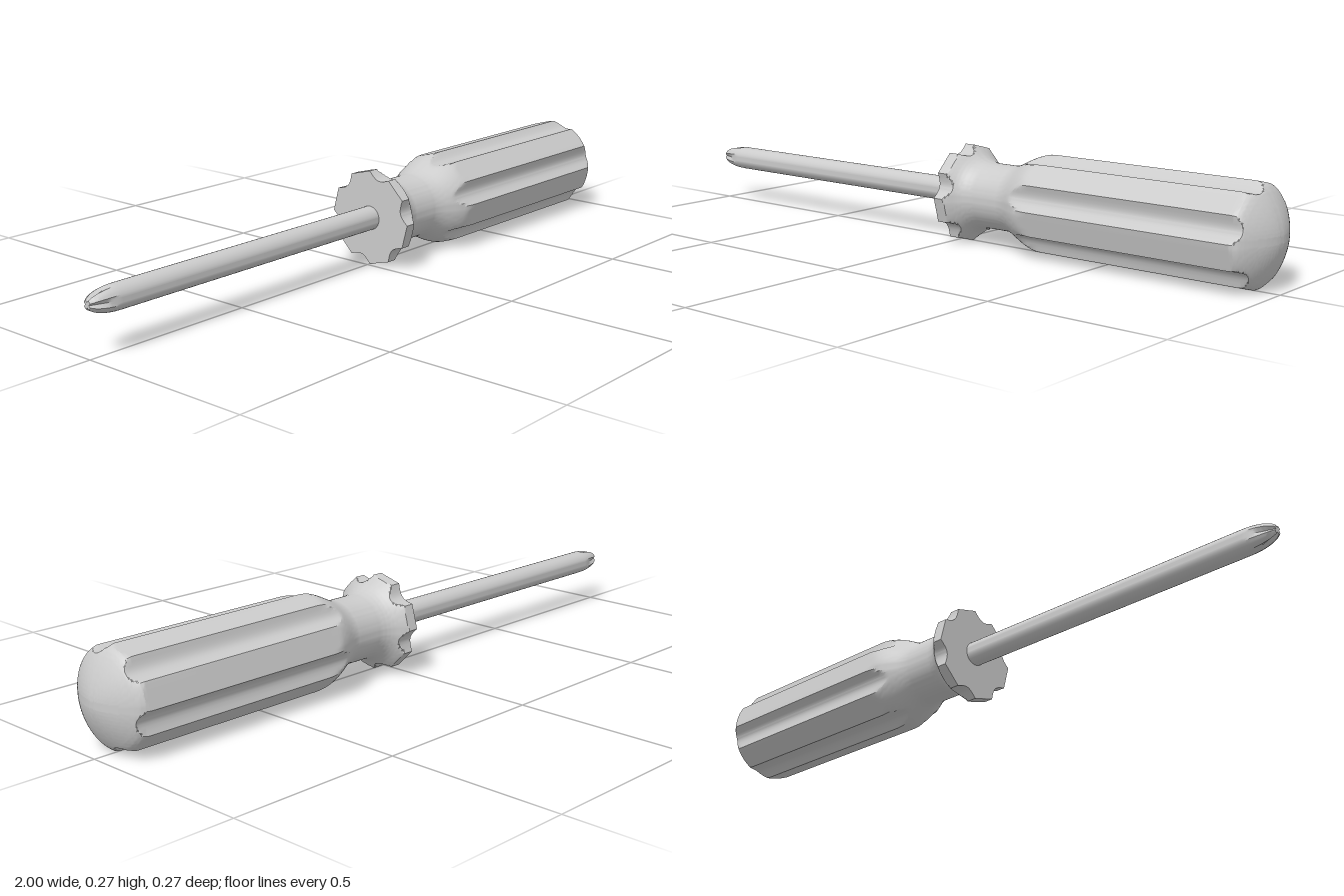
import * as THREE from 'three';
import { toCreasedNormals } from 'three/addons/utils/BufferGeometryUtils.js';

const R = 0.136; // handle corner radius, also the height of the axis
const STEP = Math.PI / 6;

// Sweep a profile (x, radius) around the x axis; rule(x, r, a) reshapes the radius.
function loft(path, sides, rule) {
  const rows = path.getPoints(16);
  const pos = [], index = [];
  for (const p of rows) {
    for (let j = 0; j < sides; j++) {
      const a = (j / sides) * Math.PI * 2;
      const r = rule(p.x, p.y, a);
      pos.push(p.x, r * Math.sin(a), -r * Math.cos(a));
    }
  }
  for (let i = 0; i < rows.length - 1; i++) {
    for (let j = 0; j < sides; j++) {
      const k = (j + 1) % sides;
      const a = i * sides + j, b = i * sides + k, c = a + sides, d = b + sides;
      if (rows[i].y > 1e-6) index.push(a, b, c);
      if (rows[i + 1].y > 1e-6) index.push(b, d, c);
    }
  }
  const geo = new THREE.BufferGeometry();
  geo.setAttribute('position', new THREE.Float32BufferAttribute(pos, 3));
  geo.setIndex(index);
  return toCreasedNormals(geo, 0.45);
}

// Twelve-cornered grip outline: flat sides alternate with scooped grooves.
function gripRadius(a) {
  const side = Math.floor(a / STEP + 1e-6);
  const t = a - (side + 0.5) * STEP;
  const chord = (R * Math.cos(STEP / 2)) / Math.cos(t);
  const scoop = side % 2 ? 0.016 * (1 - (t / (STEP / 2)) ** 2) : 0;
  return chord - scoop;
}

export function createModel() {
  const group = new THREE.Group();
  group.name = 'screwdriver';
  const material = new THREE.MeshStandardMaterial({ color: 0xcccccc });
  const add = (name, geo) => {
    const mesh = new THREE.Mesh(geo, material);
    mesh.name = name;
    mesh.position.y = R;
    group.add(mesh);
  };

  // Handle: flange, waisted neck, fluted grip and domed end
  const handle = new THREE.Path();
  handle.moveTo(0.01, 0);
  handle.lineTo(0.01, R);
  handle.lineTo(0.04, R);
  handle.bezierCurveTo(0.06, 0.115, 0.075, 0.091, 0.12, 0.091);
  handle.lineTo(0.18, 0.091);
  handle.bezierCurveTo(0.23, 0.091, 0.26, R, 0.33, R);
  handle.lineTo(0.92, R);
  handle.bezierCurveTo(0.945, R, 0.955, 0.12, 0.967, 0.1);
  handle.bezierCurveTo(0.985, 0.07, 1, 0.03, 1, 0);
  add('handle', loft(handle, 96, (x, r, a) => Math.min(r, gripRadius(a))));

  // Shaft with a cross-grooved, tapering tip
  const shaft = new THREE.Path();
  shaft.moveTo(-1, 0);
  shaft.lineTo(-1, 0.012);
  shaft.bezierCurveTo(-0.988, 0.025, -0.955, 0.034, -0.91, 0.034);
  shaft.lineTo(0.02, 0.034);
  add('shaft', loft(shaft, 32, (x, r, a) => {
    const depth = 0.45 * THREE.MathUtils.smoothstep(-x, 0.91, 1);
    return r * (1 - depth * Math.max(0, Math.cos(4 * a)));
  }));

  return group;
}
